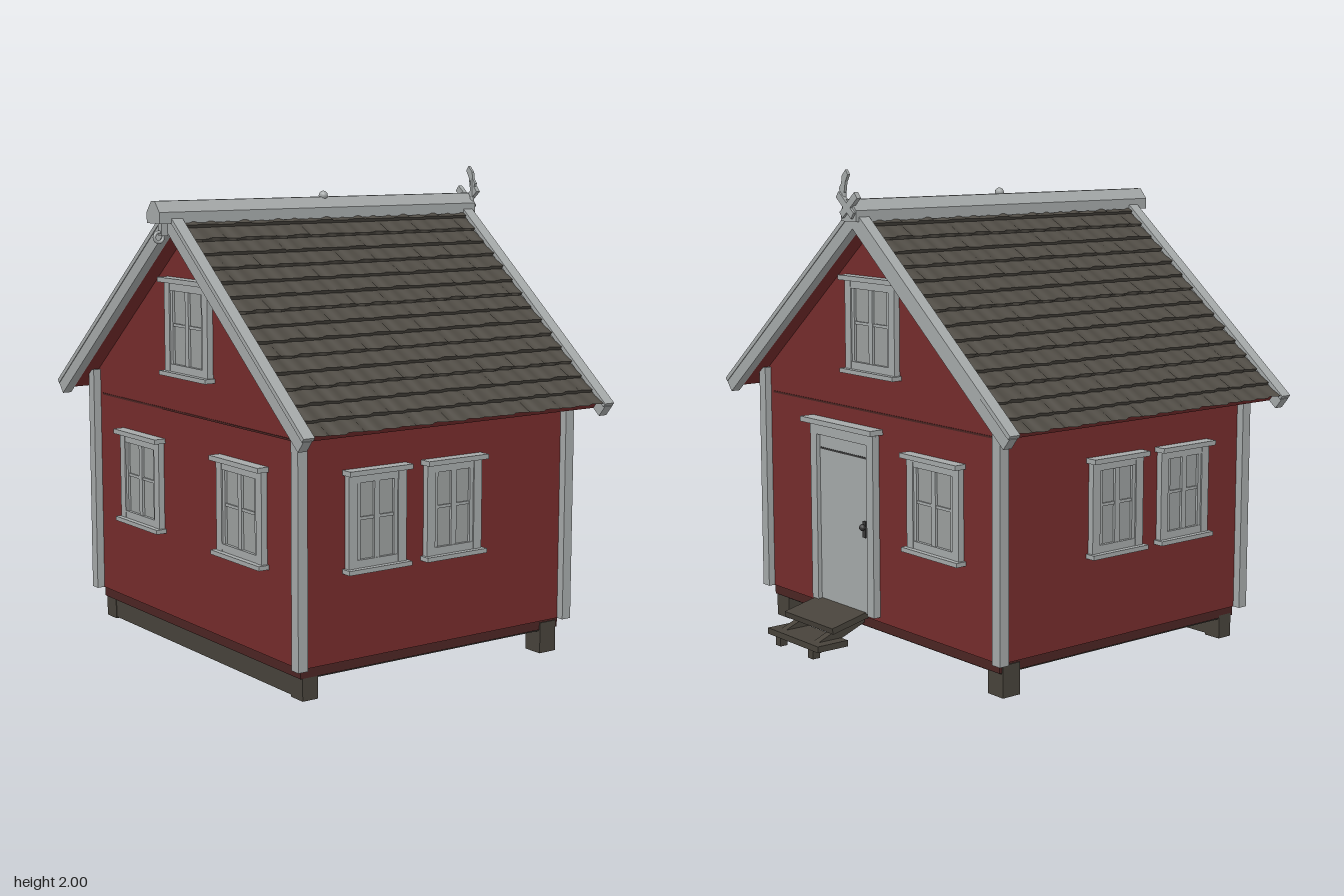
import * as THREE from 'three';
import { toCreasedNormals } from 'three/addons/utils/BufferGeometryUtils.js';

const mat = (name, color, side = THREE.FrontSide) => {
  const m = new THREE.MeshStandardMaterial({ color, side });
  m.name = name;
  return m;
};

export function createModel() {
  const red = mat('red paint', 0x762c2c);
  const darkRed = mat('dark red wood', 0x4c2523);
  const white = mat('pale trim', 0xa6aaaa);
  const glass = mat('window pane', 0x9ca09f);
  const tile = mat('roof tile', 0x4e4a43, THREE.DoubleSide);
  const wood = mat('weathered wood', 0x48433b);
  const under = mat('dark underside', 0x35322f);
  const iron = mat('dark iron', 0x383838);

  const model = new THREE.Group();
  model.name = 'cottage';

  const add = (parent, name, geo, material, x = 0, y = 0, z = 0) => {
    const m = new THREE.Mesh(geo, material);
    m.name = name;
    m.position.set(x, y, z);
    parent.add(m);
    return m;
  };
  const box = (parent, name, material, w, h, d, x, y, z) =>
    add(parent, name, new THREE.BoxGeometry(w, h, d), material, x, y, z);
  const group = (parent, name, x = 0, y = 0, z = 0, rotY = 0) => {
    const g = new THREE.Group();
    g.name = name;
    g.position.set(x, y, z);
    g.rotation.y = rotY;
    parent.add(g);
    return g;
  };
  const extrude = (points, depth) => new THREE.ExtrudeGeometry(
    new THREE.Shape(points.map(([x, y]) => new THREE.Vector2(x, y))),
    { depth, bevelEnabled: false });

  // Wall block with gables
  const frontZ = 0.7, backZ = -0.61, wallX = 0.785;
  add(model, 'walls', extrude(
    [[-wallX, 0.14], [wallX, 0.14], [wallX, 1.145], [0, 1.79], [-wallX, 1.145]],
    frontZ - backZ), red, 0, 0, backZ);
  for (const z of [frontZ, backZ])
    box(model, 'gableSeam', darkRed, 1.5, 0.008, 0.006, 0, 1.015, z);

  // Corner boards
  for (const x of [-0.795, 0.795])
    for (const z of [0.712, -0.618])
      box(model, 'cornerBoard', white, 0.046, 0.98, 0.044, x, 0.63, z);

  // Floor, sill beam and feet
  box(model, 'floorEdge', darkRed, 1.55, 0.05, 1.3, 0, 0.125, 0.045);
  box(model, 'floorUnderside', under, 1.54, 0.008, 1.28, 0, 0.098, 0.045);
  box(model, 'sillBeam', wood, 1.55, 0.09, 0.065, 0, 0.062, 0.65);
  for (const x of [-0.735, 0.735]) {
    box(model, 'frontFoot', wood, 0.08, 0.1, 0.07, x, 0.06, 0.65);
    box(model, 'backFoot', wood, 0.09, 0.13, 0.085, x, 0.065, -0.55);
  }

  // Windows, built facing +z
  const makeWindow = (name, w, x, y, z, rotY) => {
    const g = group(model, name, x, y, z, rotY);
    const h = 0.38, t = 0.04;
    box(g, 'panes', glass, w - t, h - t, 0.008, 0, 0, 0.006);
    for (const s of [-1, 1]) {
      box(g, 'sideCasing', white, t, h, 0.028, s * (w - t) / 2, 0, 0.012);
      box(g, 'rail', white, w, t, 0.026, 0, s * (h - t) / 2, 0.011);
      box(g, 'sash', white, 0.018, h - 2 * t, 0.016, s * (w / 2 - t - 0.008), 0, 0.012);
    }
    box(g, 'mullion', white, 0.026, h - t, 0.018, 0, 0, 0.011);
    box(g, 'crossBar', white, w - t, 0.012, 0.014, 0, 0.01, 0.01);
    box(g, 'hood', white, w + 0.025, 0.02, 0.055, 0, h / 2 + 0.003, 0.024);
    box(g, 'sill', white, w + 0.025, 0.018, 0.05, 0, -h / 2, 0.022);
  };
  makeWindow('frontLeftWindow', 0.33, 0.392, 0.685, frontZ, 0);
  makeWindow('frontRightWindow', 0.33, -0.392, 0.685, frontZ, 0);
  makeWindow('frontAtticWindow', 0.335, 0.005, 1.365, frontZ, 0);
  makeWindow('backWindow', 0.33, -0.4, 0.685, backZ, Math.PI);
  makeWindow('backAtticWindow', 0.335, 0.005, 1.365, backZ, Math.PI);
  for (const s of [-1, 1])
    for (const z of [0.357, -0.02])
      makeWindow('sideWindow', 0.275, s * wallX, 0.685, z, s * Math.PI / 2);

  // Back door
  const door = group(model, 'door', 0.205, 0.16, backZ, Math.PI);
  box(door, 'doorPanel', white, 0.38, 0.74, 0.016, 0, 0.37, 0.006);
  for (const s of [-1, 1])
    box(door, 'doorCasing', white, 0.045, 0.76, 0.035, s * 0.2, 0.38, 0.015);
  box(door, 'doorHeader', white, 0.44, 0.05, 0.035, 0, 0.745, 0.015);
  box(door, 'doorHood', white, 0.5, 0.022, 0.07, 0, 0.78, 0.03);
  box(door, 'doorGroove', iron, 0.34, 0.008, 0.004, 0, 0.66, 0.014);
  box(door, 'lockPlate', iron, 0.02, 0.07, 0.006, 0.14, 0.36, 0.016);
  add(door, 'doorKnob', new THREE.SphereGeometry(0.014, 10, 8), iron, 0.14, 0.37, 0.028);

  // Back steps
  const steps = group(model, 'steps', 0.24, 0, 0);
  box(steps, 'upperTread', wood, 0.35, 0.026, 0.19, 0, 0.135, -0.7).rotation.x = -0.22;
  box(steps, 'lowerTread', wood, 0.37, 0.026, 0.15, 0, 0.055, -0.8);
  for (const x of [-0.12, 0.12]) {
    box(steps, 'stringer', wood, 0.035, 0.045, 0.28, x, 0.085, -0.735).rotation.x = -0.38;
    box(steps, 'stepFoot', wood, 0.035, 0.045, 0.035, x, 0.025, -0.85);
  }

  // Roof halves: local x runs down the slope, y is the outward normal
  const tilt = Math.atan(0.82), slope = 1.23, courses = 15, columns = 18, length = 1.45;
  const makeTiles = () => {
    const rows = courses * 2 - 1, segs = columns * 6;
    const geo = new THREE.PlaneGeometry(1, 1, segs, rows);
    const p = geo.attributes.position;
    for (let i = 0; i < p.count; i++) {
      const row = Math.floor(i / (segs + 1)), u = (i % (segs + 1)) / segs;
      const course = Math.floor(row / 2), low = row % 2;
      const wave = Math.sin(u * columns * Math.PI * 2 + 0.5 * Math.sin(course * 2.4));
      const wobble = 0.003 * Math.sin(course * 5.1 + Math.floor(u * columns) * 3.7);
      p.setXYZ(i,
        (course + low) / courses * slope + 0.007 * wave,
        -0.016 + low * 0.016 + 0.006 * wave + wobble * low,
        (u - 0.5) * length);
    }
    return toCreasedNormals(geo, 0.7);
  };
  for (const side of [0, 1]) {
    const half = group(model, side ? 'rightRoof' : 'leftRoof', 0, 1.84, 0.045, side * Math.PI);
    const slab = group(half, 'roofSlope');
    slab.rotation.z = -tilt;
    add(slab, 'roofTiles', makeTiles(), tile);
    box(slab, 'roofBoards', red, 1.2, 0.03, 1.46, 0.6, -0.042, 0);
    for (const s of [-1, 1]) {
      box(slab, 'bargeBoard', white, 1.25, 0.055, 0.04, 0.62, -0.03, s * 0.742);
      box(slab, 'bargeCap', white, 1.245, 0.018, 0.05, 0.62, 0.003, s * 0.74);
    }
  }

  // Ridge capping
  add(model, 'ridgeCap', extrude(
    [[-0.05, 1.795], [0.05, 1.795], [0.05, 1.84], [0.014, 1.883], [-0.014, 1.883], [-0.05, 1.84]],
    1.6), white, 0, 0, -0.735);
  add(model, 'ridgeKnob', new THREE.SphereGeometry(0.02, 10, 8), white, 0.005, 1.888, 0.05);

  // Crossed board tips and vane at the back
  for (const s of [-1, 1])
    box(model, 'crossedTip', white, 0.13, 0.03, 0.02, s * 0.012, 1.86, -0.735).rotation.z = s * tilt;
  add(model, 'vanePole', new THREE.CylinderGeometry(0.008, 0.01, 0.1, 8), white, 0.035, 1.895, -0.73);
  add(model, 'vane', extrude(
    [[0.025, 1.91], [0.05, 1.9], [0.06, 1.925], [0.045, 1.945], [0.04, 1.975],
      [0.015, 2], [0, 1.98], [0.018, 1.95]], 0.012), white, 0, 0, -0.737);

  // Hanging ring under the front of the ridge
  box(model, 'ringBracket', white, 0.025, 0.06, 0.03, 0, 1.775, 0.82);
  const ring = add(model, 'hangingRing', new THREE.TorusGeometry(0.02, 0.007, 8, 18), white, 0, 1.74, 0.84);
  ring.rotation.y = Math.PI / 2;

  return model;
}
